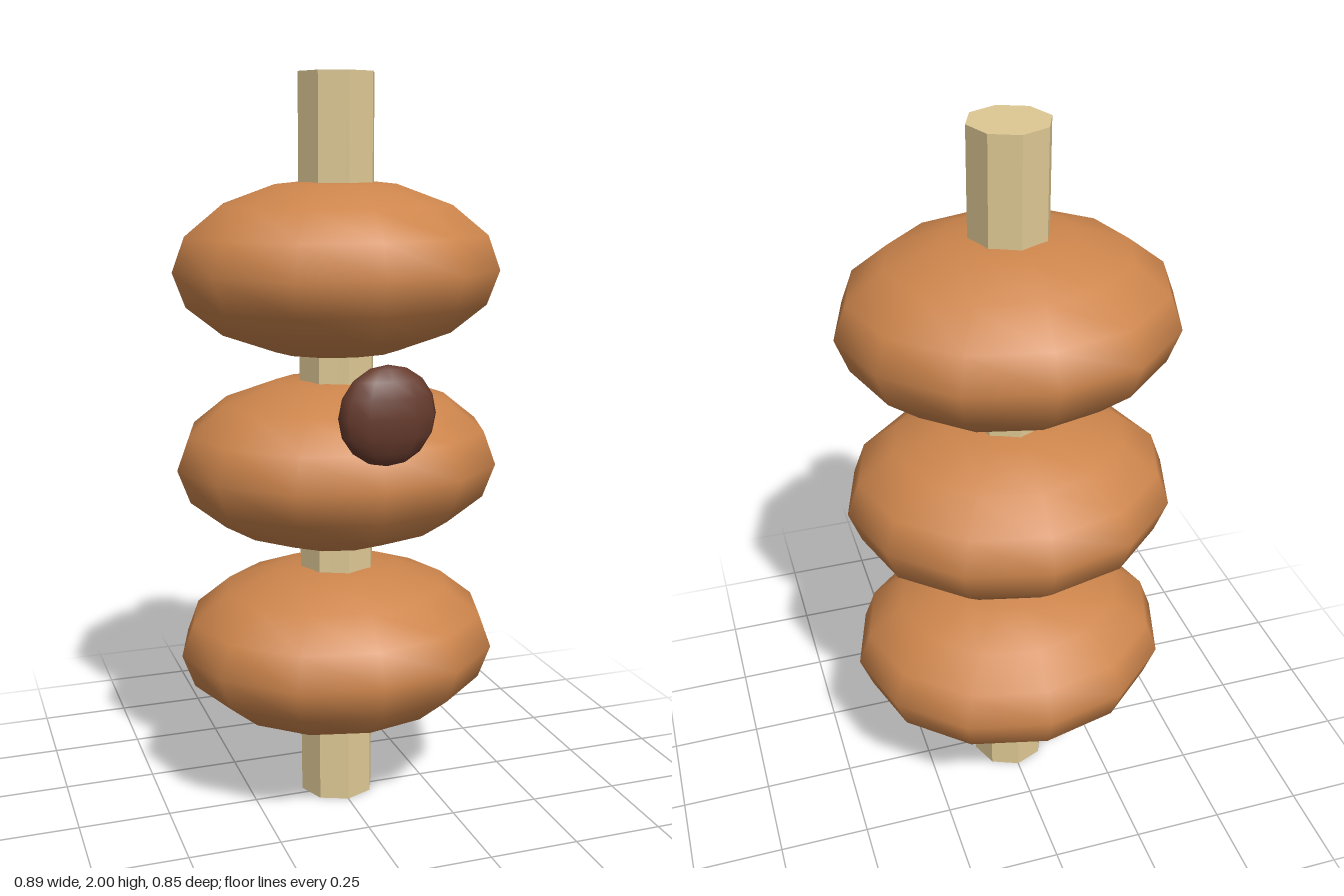
import * as THREE from 'three';

const AXIS_Z = -0.027; // the skewer stands slightly behind centre

function ellipsoid(name, material, [rx, ry, rz], [x, y, z]) {
  const geometry = new THREE.SphereGeometry(1, 12, 8);
  geometry.scale(rx, ry, rz);
  const mesh = new THREE.Mesh(geometry, material);
  mesh.name = name;
  mesh.position.set(x, y, z);
  return mesh;
}

export function createModel() {
  const model = new THREE.Group();
  model.name = 'dumplingSkewer';

  const wood = new THREE.MeshStandardMaterial({ color: 0xdec894, flatShading: true });
  const dough = new THREE.MeshStandardMaterial({ color: 0xcd854c });
  const glaze = new THREE.MeshStandardMaterial({ color: 0x663a2c });

  // Eight-sided stick through the full height
  const stick = new THREE.Mesh(new THREE.CylinderGeometry(0.105, 0.105, 2, 8), wood);
  stick.name = 'stick';
  stick.position.set(0, 1, AXIS_Z);
  model.add(stick);

  // Three flattened dumplings, bottom to top
  ['lowerDumpling', 'middleDumpling', 'upperDumpling'].forEach((name, i) => {
    model.add(ellipsoid(name, dough, [0.446, 0.237, 0.4], [0, 0.448 + i * 0.5235, AXIS_Z]));
  });

  // Dark glaze spot on the front
  model.add(ellipsoid('glazeSpot', glaze, [0.128, 0.127, 0.058], [0, 1.168, 0.367]));

  return model;
}
